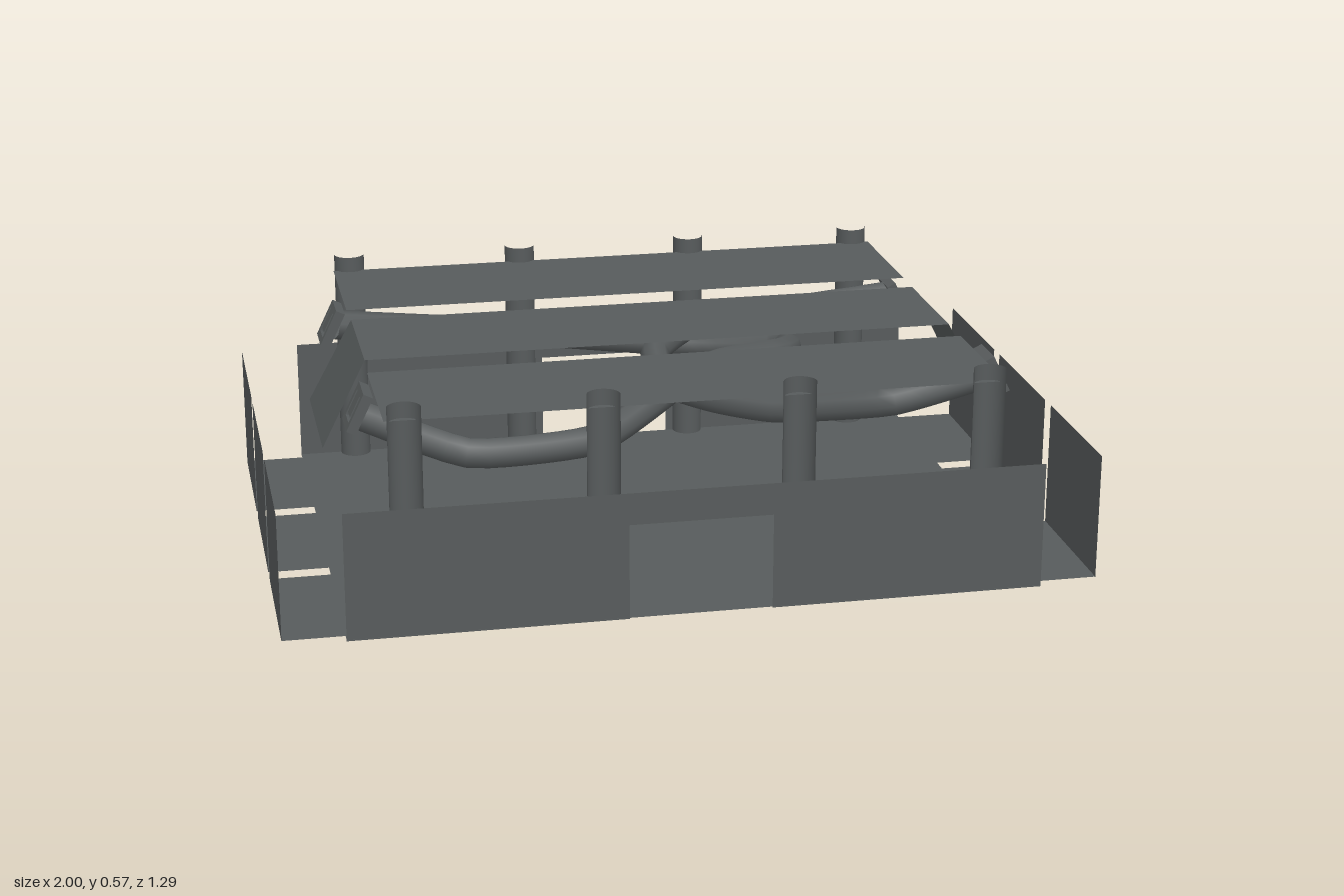
import * as THREE from 'three';

const metal = new THREE.MeshStandardMaterial({ color: 0x575b5c, side: THREE.DoubleSide });
metal.name = 'dark grey metal';

export function createModel() {
  const model = new THREE.Group();
  const add = (name, geometry, parent = model) => {
    const mesh = new THREE.Mesh(geometry, metal);
    mesh.name = name;
    parent.add(mesh);
    return mesh;
  };
  const outline = (points) => new THREE.Shape(points.map(([x, y]) => new THREE.Vector2(x, y)));
  const sheet = (points) => new THREE.ShapeGeometry(outline(points));

  // Floor with stepped corners and slots at both ends
  const quarter = [[0.85, 0.643], [0.85, 0.617], [1, 0.617], [1, 0.235], [0.85, 0.235], [0.85, 0.19], [1, 0.19]];
  const flip = (sx, sz) => quarter.map(([x, z]) => [x * sx, z * sz]);
  const floor = add('floor', sheet([
    ...flip(1, 1), ...flip(1, -1).reverse(), ...flip(-1, -1), ...flip(-1, 1).reverse(),
  ]));
  floor.rotation.x = -Math.PI / 2;
  floor.position.y = 0.003;

  for (const side of [1, -1]) {
    const facing = side > 0 ? 0 : Math.PI;

    // Long wall with an opening at the bottom
    const wall = add('longWall', sheet([
      [-0.85, 0], [-0.175, 0], [-0.175, 0.24], [0.175, 0.24],
      [0.175, 0], [0.85, 0], [0.85, 0.32], [-0.85, 0.32],
    ]));
    wall.position.z = side * 0.642;
    wall.rotation.y = facing;

    // Half-round stakes, bulging inwards and open towards the wall
    for (const x of [-0.7, -0.235, 0.235, 0.7]) {
      const stake = add('stake', new THREE.CylinderGeometry(0.04, 0.04, 0.57, 12, 1, true, Math.PI / 2, Math.PI));
      stake.position.set(x, 0.285, side * 0.64);
      stake.rotation.y = facing;
    }

    // Three separate panels at each end
    for (const [z, width] of [[-0.426, 0.382], [0, 0.38], [0.426, 0.382]]) {
      const panel = add('endPanel', new THREE.PlaneGeometry(width, 0.32));
      panel.position.set(side, 0.16, z);
      panel.rotation.y = side * Math.PI / 2;
    }

    // Outer top plate
    const plate = add('outerTopPlate', new THREE.PlaneGeometry(1.49, 0.36));
    plate.rotation.x = -Math.PI / 2;
    plate.position.set(0, 0.53, side * 0.438);

    // Sloping flap at the end of the middle plate
    const flap = add('slopingFlap', sheet([[-0.187, -0.241], [0.187, -0.241], [0.167, 0], [-0.167, 0]]));
    flap.rotation.set(-Math.atan2(0.11, 0.21), side * Math.PI / 2, 0, 'YXZ');
    flap.position.set(side * 0.742, 0.532, 0);
  }

  const middle = add('middleTopPlate', new THREE.PlaneGeometry(1.484, 0.334));
  middle.rotation.x = -Math.PI / 2;
  middle.position.y = 0.532;

  // Bent tubes crossing under the plates
  const tube = (name, points) => {
    const curve = new THREE.CatmullRomCurve3(points.map((p) => new THREE.Vector3(...p)), false, 'catmullrom', 0.25);
    add(name, new THREE.TubeGeometry(curve, 60, 0.038, 8));
  };
  tube('leftToLeftTube', [
    [0.77, 0.47, 0.39], [0.52, 0.43, 0.43], [0.28, 0.37, 0.26], [0.15, 0.36, 0.13],
    [0.04, 0.37, 0], [0.05, 0.4, -0.17], [0.18, 0.43, -0.29], [0.48, 0.41, -0.42], [0.77, 0.42, -0.47],
  ]);
  tube('rightToRightTube', [
    [-0.77, 0.46, 0.37], [-0.53, 0.395, 0.5], [-0.22, 0.39, 0.45], [0.02, 0.46, 0.27],
    [0.15, 0.455, 0.13], [0.34, 0.43, 0], [0.4, 0.39, -0.17], [0.2, 0.37, -0.29],
    [-0.2, 0.39, -0.4], [-0.5, 0.42, -0.4], [-0.77, 0.47, -0.33],
  ]);

  // Tilted square buckles with a U-shaped slot at the tube ends
  const face = outline([[-0.051, -0.05], [0.051, -0.05], [0.051, 0.05], [-0.051, 0.05]]);
  face.holes.push(new THREE.Path([
    [-0.033, 0.035], [-0.022, 0.035], [-0.022, -0.022], [0.022, -0.022],
    [0.022, 0.035], [0.033, 0.035], [0.033, -0.033], [-0.033, -0.033],
  ].map(([x, y]) => new THREE.Vector2(x, y))));
  for (const [x, y, z] of [[-0.77, 0.475, 0.37], [-0.77, 0.47, -0.32], [0.77, 0.48, 0.4], [0.77, 0.41, -0.47]]) {
    const buckle = new THREE.Group();
    buckle.name = 'buckle';
    buckle.position.set(x, y, z);
    buckle.rotation.z = Math.sign(x) * 0.45;
    const body = add('buckleBody', new THREE.ExtrudeGeometry(face, { depth: 0.025, bevelEnabled: false }), buckle);
    body.rotation.y = Math.sign(x) * Math.PI / 2;
    model.add(buckle);
  }

  return model;
}
